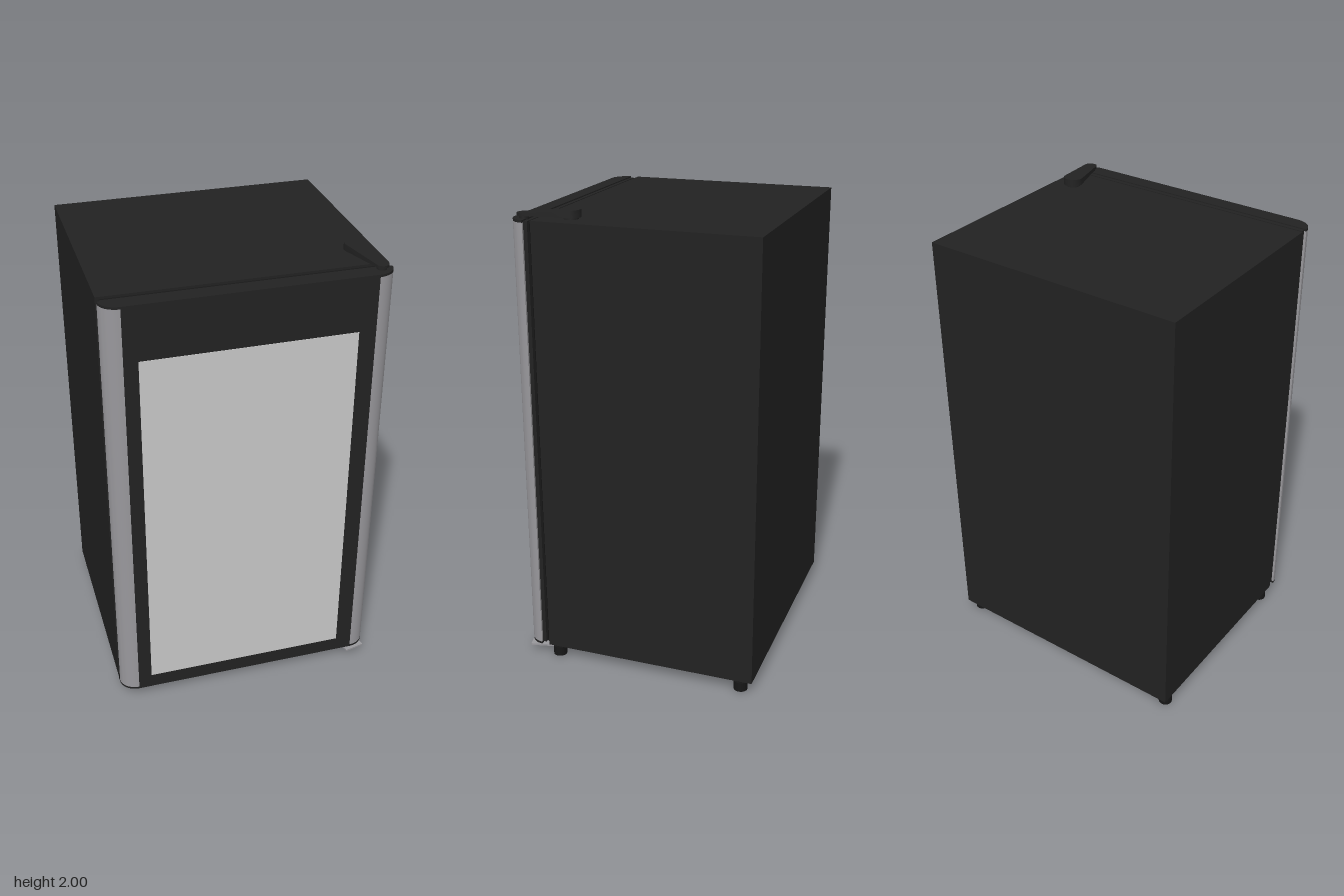
import * as THREE from 'three';
import { toCreasedNormals } from 'three/addons/utils/BufferGeometryUtils.js';

export function createModel() {
  const model = new THREE.Group();
  model.name = 'displayFridge';
  const mat = (name, color) => {
    const m = new THREE.MeshStandardMaterial({ color });
    m.name = name;
    return m;
  };
  const black = mat('black casing', 0x222222);
  const rubber = mat('dark rubber', 0x171717);
  const silver = mat('silver trim', 0x99989c);
  const glass = mat('pale glass', 0xc9c9c9);

  const add = (name, geo, material) => {
    const mesh = new THREE.Mesh(geo, material);
    mesh.name = name;
    model.add(mesh);
    return mesh;
  };
  // Box given by its limits
  const box = (name, x0, x1, y0, y1, z0, z1, material) => {
    const mesh = add(name, new THREE.BoxGeometry(x1 - x0, y1 - y0, z1 - z0), material);
    mesh.position.set((x0 + x1) / 2, (y0 + y1) / 2, (z0 + z1) / 2);
    return mesh;
  };
  // Upright prism from an outline of [x, z] points
  const prism = (name, points, y0, y1, material) => {
    const shape = new THREE.Shape(points.map(([x, z]) => new THREE.Vector2(x, -z)));
    const geo = new THREE.ExtrudeGeometry(shape, { depth: y1 - y0, bevelEnabled: false });
    geo.rotateX(-Math.PI / 2).translate(0, y0, 0);
    return add(name, toCreasedNormals(geo, 0.6), material);
  };

  // Cabinet core: side profile with the compressor recess underneath
  const profile = [
    [0.41, 1.955], [-0.51, 1.955], [-0.51, 0.56], [-0.16, 0.56], [-0.08, 0.53],
    [-0.04, 0.46], [0.05, 0.22], [0.09, 0.2], [0.36, 0.15], [0.36, 0.055], [0.41, 0.055],
  ].map(([z, y]) => new THREE.Vector2(-z, y));
  const core = new THREE.ExtrudeGeometry(new THREE.Shape(profile), { depth: 1.14, bevelEnabled: false });
  core.rotateY(Math.PI / 2).translate(-0.57, 0, 0);
  add('cabinetCore', toCreasedNormals(core, 0.7), black);

  // Outer panels
  for (const s of [-1, 1]) {
    const side = box('sidePanel', -0.006, 0.006, 0.055, 1.96, -0.528, 0.412, black);
    side.position.x = s * 0.574;
  }
  box('backPanel', -0.57, 0.57, 0.055, 1.96, -0.528, -0.51, black);
  box('topPanel', -0.57, 0.57, 1.95, 1.96, -0.512, 0.412, black);

  // Door seal in two ribs
  box('sealInner', -0.565, 0.565, 0.065, 1.95, 0.41, 0.432, rubber);
  box('sealOuter', -0.572, 0.572, 0.07, 1.945, 0.418, 0.426, rubber);
  box('doorBack', -0.57, 0.57, 0.06, 1.955, 0.43, 0.447, black);

  // Door with rounded front corners
  const corner = (s) => {
    const pts = [];
    for (let i = 0; i <= 12; i++) {
      const a = (i / 12) * Math.PI / 2;
      pts.push([s * (0.505 + 0.075 * Math.cos(a)), 0.447 + 0.067 * Math.sin(a)]);
    }
    return pts;
  };
  const outline = [...corner(1), ...corner(-1).reverse()];
  prism('doorBottomCap', outline, 0.052, 0.062, black);
  prism('doorTopCap', outline, 1.95, 1.96, black);
  box('doorFrame', -0.505, 0.505, 0.062, 1.95, 0.447, 0.514, black);
  for (const s of [-1, 1]) {
    const pts = [[s * 0.505, 0.447], ...corner(s)];
    prism(s > 0 ? 'leftEdgeTrim' : 'rightEdgeTrim', pts, 0.062, 1.95, silver);
  }
  box('window', -0.447, 0.433, 0.12, 1.725, 0.511, 0.516, glass);

  // Top hinge cover: tapered capsule, thinner toward the front
  const cover = [];
  const addEnd = (cx, cz, r, start) => {
    for (let i = 0; i <= 12; i++) {
      const a = start + (i / 12) * Math.PI;
      cover.push([cx + r * Math.cos(a), cz + r * Math.sin(a)]);
    }
  };
  addEnd(0.487, 0.277, 0.041, Math.PI - 0.22);
  addEnd(0.53, 0.464, 0.027, -0.22);
  const hinge = prism('topHingeCover', cover, 1.968, 2.0, black);
  const p = hinge.geometry.attributes.position;
  for (let i = 0; i < p.count; i++) {
    const t = (p.getZ(i) - 0.236) / 0.255;
    if (p.getY(i) > 1.98) p.setY(i, 2.0 - 0.018 * t);
    else p.setY(i, 1.968 + 0.004 * t);
  }
  const peg = (name, x, z, r, y0, y1, material) => {
    const mesh = add(name, new THREE.CylinderGeometry(r, r, y1 - y0, 20), material);
    mesh.position.set(x, (y0 + y1) / 2, z);
  };
  peg('topHingePin', 0.53, 0.462, 0.02, 1.955, 1.975, black);
  peg('topHingePost', 0.487, 0.277, 0.03, 1.955, 1.975, black);

  // Bottom hinge bracket
  const bracket = box('bottomHinge', 0.465, 0.555, 0.031, 0.039, 0.39, 0.515, silver);
  bracket.rotation.y = 0.22;
  bracket.position.x = 0.518;
  peg('bottomHingePin', 0.53, 0.465, 0.016, 0.03, 0.056, silver);

  // Feet
  for (const x of [-0.543, 0.543]) {
    for (const z of [-0.47, 0.375]) {
      peg('foot', x, z, 0.03, 0, 0.042, rubber);
      peg('footStem', x, z, 0.022, 0.04, 0.075, rubber);
    }
  }
  return model;
}
